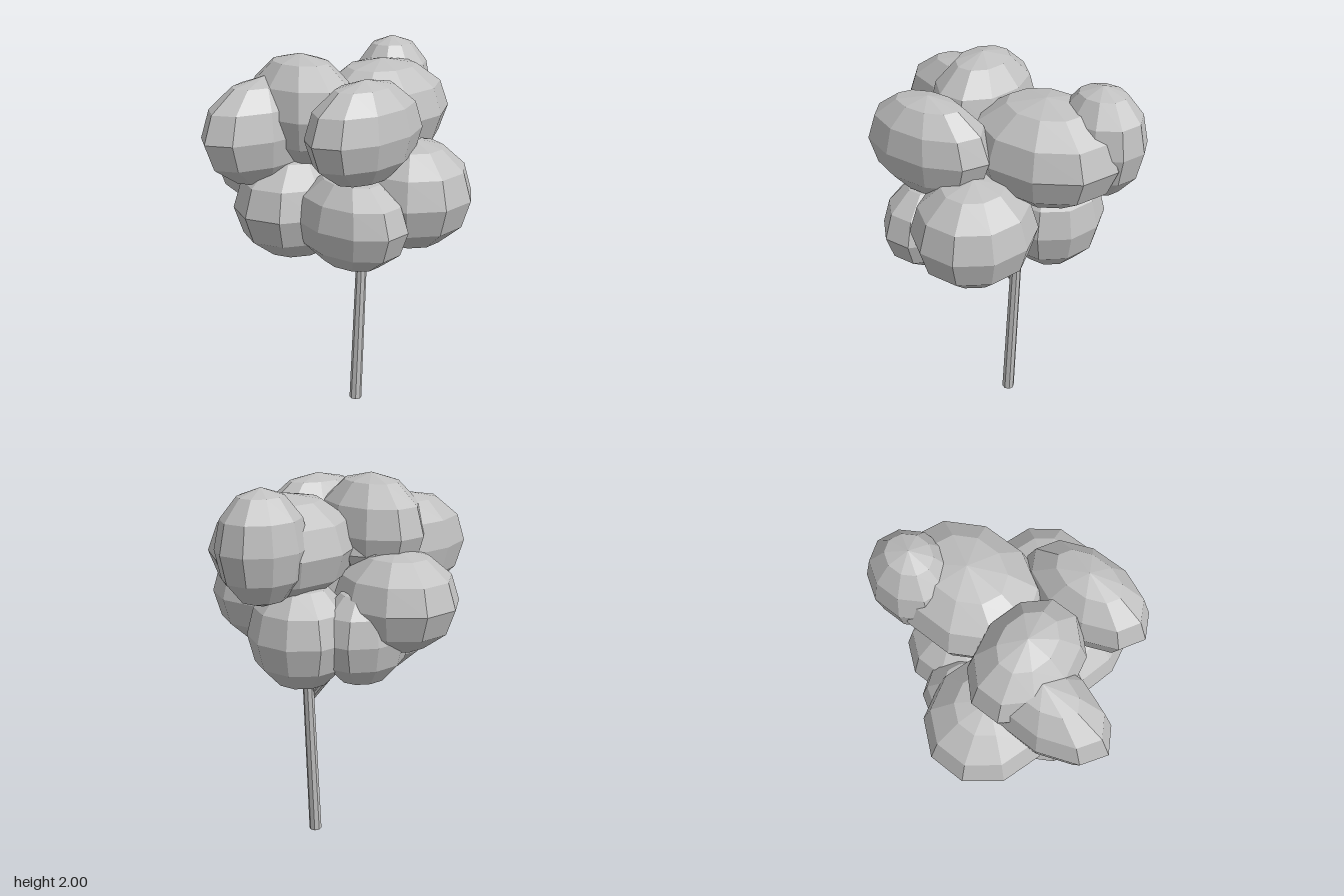
import * as THREE from 'three';

// Faceted copy of a geometry: every face gets its own normal
function faceted(geometry) {
  const g = geometry.toNonIndexed();
  g.computeVertexNormals();
  return g;
}

// Straight pole between two points
function pole(name, from, to, r0, r1, sides, material) {
  const a = new THREE.Vector3(...from);
  const b = new THREE.Vector3(...to);
  const dir = b.clone().sub(a);
  const geometry = faceted(new THREE.CylinderGeometry(r1, r0, dir.length(), sides));
  const mesh = new THREE.Mesh(geometry, material);
  mesh.name = name;
  mesh.position.copy(a).add(b).multiplyScalar(0.5);
  mesh.quaternion.setFromUnitVectors(new THREE.Vector3(0, 1, 0), dir.normalize());
  return mesh;
}

// Leaf clumps: centre and radii of each ellipsoid
const clumps = [
  // upper crown
  { at: [-0.12, 1.715, -0.495], r: [0.203, 0.285, 0.235] },
  { at: [0.01, 1.66, -0.27], r: [0.32, 0.27, 0.4] },
  { at: [-0.12, 1.715, 0.18], r: [0.325, 0.285, 0.243] },
  { at: [0.32, 1.685, 0.185], r: [0.203, 0.255, 0.347] },
  { at: [-0.213, 1.625, 0.336], r: [0.203, 0.273, 0.386] },
  // middle sides
  { at: [-0.357, 1.4, 0.145], r: [0.34, 0.262, 0.305] },
  { at: [0.369, 1.33, -0.105], r: [0.32, 0.281, 0.305] },
  // lower ring
  { at: [-0.125, 1.235, 0.204], r: [0.295, 0.285, 0.36] },
  { at: [0.26, 1.235, 0.215], r: [0.33, 0.247, 0.225] },
  { at: [-0.1, 1.235, -0.257], r: [0.28, 0.285, 0.265] },
  { at: [-0.31, 1.235, -0.02], r: [0.21, 0.26, 0.26] },
];

export function createModel() {
  const tree = new THREE.Group();
  tree.name = 'tree';
  const grey = new THREE.MeshStandardMaterial({ color: 0xc0c0c0 });
  grey.name = 'light grey';

  // Slightly leaning trunk, running up into the crown
  tree.add(pole('trunk', [0.022, 0, -0.075], [0.022, 1.3, -0.14], 0.034, 0.027, 8, grey));

  // Crown of ten-sided clumps, a corner of each facing front and back
  const ball = faceted(new THREE.SphereGeometry(1, 10, 6, Math.PI / 2));
  const crown = new THREE.Group();
  crown.name = 'crown';
  const branches = new THREE.Group();
  branches.name = 'branches';
  clumps.forEach(({ at, r }, i) => {
    const clump = new THREE.Mesh(ball, grey);
    clump.name = `leafClump${i + 1}`;
    clump.position.set(...at);
    clump.scale.set(...r);
    crown.add(clump);
    // Thin branch fanning out from the fork to the clump
    branches.add(pole(`branch${i + 1}`, [0.022, 0.81, -0.085], at, 0.013, 0.01, 5, grey));
  });
  tree.add(crown, branches);
  return tree;
}
